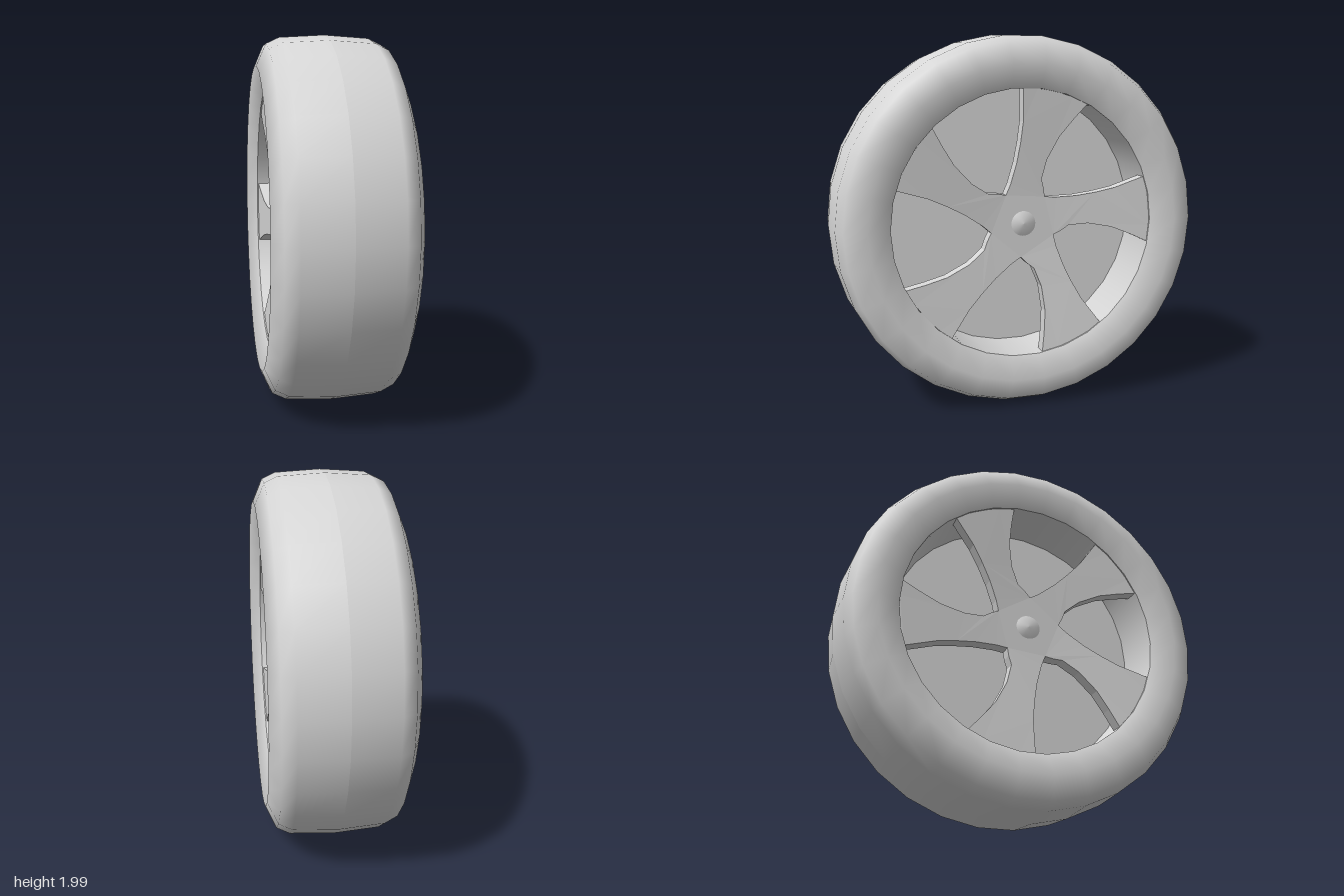
import * as THREE from 'three';

const SEGMENTS = 30;
const RIM_RADIUS = 0.715;

const grey = new THREE.MeshStandardMaterial({ color: 0xd6d6d6, side: THREE.DoubleSide });
grey.name = 'light grey';

function part(name, geometry) {
  const mesh = new THREE.Mesh(geometry, grey);
  mesh.name = name;
  return mesh;
}

// Revolve [radius, x] points about the x axis
function revolve(points) {
  const profile = points.map(([r, x]) => new THREE.Vector2(r, x));
  return new THREE.LatheGeometry(profile, SEGMENTS).rotateZ(-Math.PI / 2);
}

// Flat five-spoke plate, slightly dished towards the hub
function spokePlate() {
  // One opening, from the rim in to the hub and back out
  const opening = [
    [0.676, 0.236], [0.51, 0.178], [0.4, 0.155], [0.295, 0.14], [0.18, 0.135],
    [0.118, 0.14], [0.112, 0.185], [0.098, 0.235], [0.125, 0.34],
    [0.19, 0.46], [0.265, 0.55], [0.338, 0.629],
  ];
  const outline = [];
  for (let k = 0; k < 5; k++) {
    const turn = (k * Math.PI * 2) / 5;
    for (const [u, v] of opening) {
      outline.push(new THREE.Vector2(u, v).rotateAround(new THREE.Vector2(), turn));
    }
    // Outer end of the spoke follows the rim
    for (const degrees of [69, 77, 85]) {
      const a = THREE.MathUtils.degToRad(degrees) + turn;
      outline.push(new THREE.Vector2(Math.cos(a), Math.sin(a)).multiplyScalar(0.714));
    }
  }
  const geometry = new THREE.ExtrudeGeometry(new THREE.Shape(outline), {
    depth: 0.07, bevelEnabled: false,
  });
  const p = geometry.attributes.position;
  for (let i = 0; i < p.count; i++) {
    const r = Math.hypot(p.getX(i), p.getY(i));
    p.setZ(i, p.getZ(i) + 0.165 + 0.06 * (r / RIM_RADIUS));
  }
  geometry.computeVertexNormals();
  return geometry.rotateY(Math.PI / 2);
}

// Everything on one side of the wheel's middle plane
function wheelSide(name) {
  const side = new THREE.Group();
  side.name = name;

  side.add(part('tyre', revolve([
    [1, 0], [0.985, 0.24], [0.952, 0.31], [0.835, 0.361], [RIM_RADIUS, 0.302],
  ])));
  side.add(part('rimBarrel', revolve([[RIM_RADIUS, 0.302], [RIM_RADIUS, 0]])));
  side.add(part('middleDisc',
    new THREE.CircleGeometry(RIM_RADIUS, SEGMENTS).rotateY(Math.PI / 2)));
  side.add(part('spokes', spokePlate()));
  // Low domed cap over the hub
  side.add(part('hubCap', revolve([[0.094, 0.2], [0.09, 0.247], [0, 0.26]])));
  return side;
}

export function createModel() {
  const wheel = new THREE.Group();
  wheel.name = 'wheel';
  const left = wheelSide('leftSide');
  const right = wheelSide('rightSide');
  right.rotation.z = Math.PI;
  wheel.add(left, right);
  // Stand the lowest tread facet on the ground
  wheel.position.y = Math.cos(Math.PI / SEGMENTS);

  const model = new THREE.Group();
  model.add(wheel);
  return model;
}
